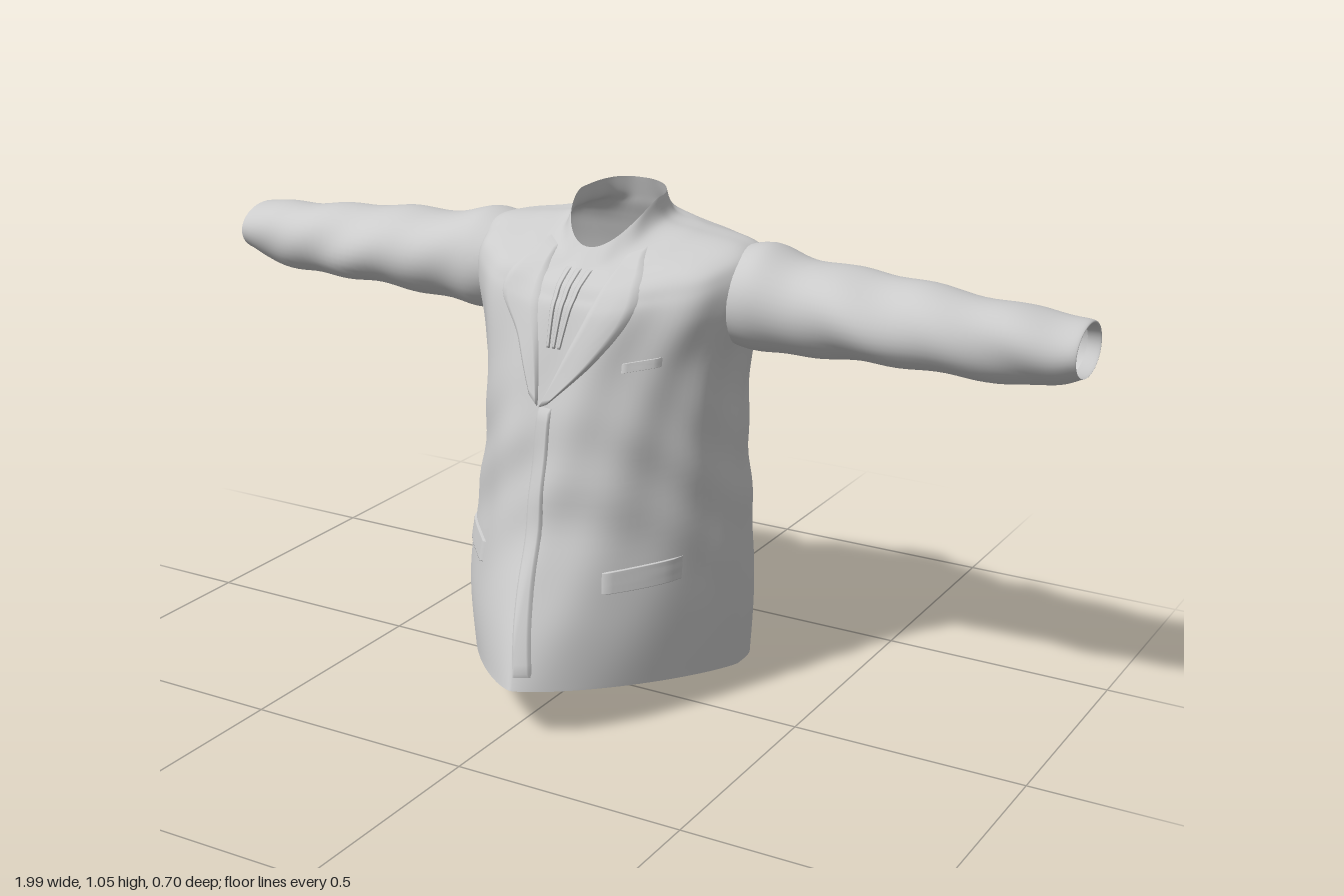
import * as THREE from 'three';

const cloth = new THREE.MeshStandardMaterial({ color: 0xcccccc, side: THREE.DoubleSide });

// Catmull-Rom sample of rows of numbers, t in 0..1
function sample(rows, t) {
  const f = t * (rows.length - 1), i = Math.min(Math.floor(f), rows.length - 2), w = f - i;
  const at = (k) => rows[Math.max(0, Math.min(rows.length - 1, k))];
  return rows[0].map((_, c) => {
    const a = at(i - 1)[c], b = at(i)[c], d = at(i + 1)[c], e = at(i + 2)[c];
    return b + 0.5 * w * (d - a + w * (2 * a - 5 * b + 4 * d - e + w * (3 * (b - d) + e - a)));
  });
}

// Smooth grid surface; wrap joins the last column to the first, skip leaves holes
function grid(name, fn, nu, nv, wrap, skip = () => false) {
  const pos = [], idx = [], cols = wrap ? nu : nu + 1, pts = [];
  for (let j = 0; j <= nv; j++) for (let i = 0; i < cols; i++) {
    const p = fn(i / nu, j / nv);
    pts.push(p);
    pos.push(...p);
  }
  for (let j = 0; j < nv; j++) for (let i = 0; i < nu; i++) {
    const a = j * cols + i, b = j * cols + (i + 1) % cols, c = a + cols, d = b + cols;
    if (skip(pts[a]) && skip(pts[d])) continue;
    idx.push(a, b, d, a, d, c);
  }
  const g = new THREE.BufferGeometry();
  g.setAttribute('position', new THREE.Float32BufferAttribute(pos, 3));
  g.setIndex(idx);
  g.computeVertexNormals();
  const m = new THREE.Mesh(g, cloth);
  m.name = name;
  return m;
}

const pow = (v, p) => Math.sign(v) * Math.abs(v) ** p;

// Body rings: xMin, xMax, zBack, zFront, yBack, ySide, yFront, front pointedness, front tip x
const bodyRings = [
  [-0.33, 0.30, -0.34, 0.35, 0.005, 0.05, 0.115, 1.5, 0.04],
  [-0.34, 0.305, -0.345, 0.305, 0.19, 0.2, 0.21, 1.4, 0.03],
  [-0.31, 0.295, -0.335, 0.21, 0.4, 0.4, 0.4, 1.2, 0.01],
  [-0.285, 0.278, -0.325, 0.165, 0.6, 0.6, 0.6, 1.05, 0],
  [-0.295, 0.285, -0.343, 0.125, 0.74, 0.74, 0.74, 1, 0],
  [-0.32, 0.32, -0.315, 0.09, 0.86, 0.86, 0.84, 0.95, 0],
  [-0.32, 0.32, -0.29, 0.07, 0.93, 0.935, 0.87, 0.95, 0],
  [-0.285, 0.285, -0.275, 0.055, 0.965, 0.97, 0.89, 0.95, 0],
  [-0.19, 0.18, -0.26, 0.035, 0.995, 0.985, 0.905, 0.95, 0],
  [-0.115, 0.105, -0.25, 0.015, 1.02, 1.0, 0.92, 1, 0],
  [-0.1, 0.085, -0.235, -0.02, 1.06, 1.045, 0.955, 1, 0],
];

function bodyPoint(u, v) {
  const [x0, x1, zb, zf, yb, ys, yf, pf, tip] = sample(bodyRings, v);
  const a = u * Math.PI * 2, c = Math.cos(a), s = -Math.sin(a), front = s > 0;
  const zc = THREE.MathUtils.lerp(-0.13, -0.15, v), p = front ? pf : 0.8;
  const k = Math.abs(s) ** 1.5;
  let x = (x0 + x1) / 2 + (x1 - x0) / 2 * pow(c, p) + (front ? tip * s * s : 0);
  let z = zc + (front ? zf - zc : zc - zb) * pow(s, p);
  const y = ys + ((front ? yf : yb) - ys) * k;
  // cloth folds: waist creases and loose vertical drape
  const mid = Math.sin(Math.PI * v);
  const fold = mid * (0.005 * Math.sin(38 * y + 5 * Math.sin(2 * a + 1)) * Math.exp(-(((y - 0.48) / 0.16) ** 2))
    + 0.004 * Math.sin(7 * a + 6 * y) + 0.003 * Math.sin(13 * a - 9 * y));
  x += c * fold;
  z += s * fold;
  return [x, y, z];
}

// Sleeve rings: x, yBottom, yTop, zBack, zFront
const sleeveRings = [
  [0.28, 0.76, 0.965, -0.285, -0.045],
  [0.335, 0.752, 0.972, -0.295, -0.04],
  [0.42, 0.758, 0.952, -0.285, -0.05],
  [0.55, 0.762, 0.943, -0.28, -0.05],
  [0.7, 0.766, 0.93, -0.282, -0.06],
  [0.85, 0.764, 0.918, -0.28, -0.085],
  [0.94, 0.768, 0.908, -0.275, -0.105],
  [0.99, 0.787, 0.902, -0.272, -0.115],
  [0.995, 0.79, 0.895, -0.268, -0.12],
  [0.97, 0.793, 0.892, -0.265, -0.123],
];

function sleeve(side) {
  return grid(side > 0 ? 'leftSleeve' : 'rightSleeve', (u, v) => {
    const [x, y0, y1, zb, zf] = sample(sleeveRings, v);
    const a = -side * u * Math.PI * 2, c = Math.cos(a), s = Math.sin(a);
    const r = 1 + Math.sin(Math.PI * v) * (0.035 * Math.sin(34 * x + 2.5 * s + side) + 0.03 * Math.sin(3 * a + 14 * x));
    return [side * x, (y0 + y1) / 2 + (y1 - y0) / 2 * s * r, (zb + zf) / 2 + (zf - zb) / 2 * c * r];
  }, 40, 70, true);
}

// Raised cloth panel laid on the body front between two edges given as [x, y] points
function panel(name, body, left, right, lift) {
  const ray = new THREE.Raycaster(), dir = new THREE.Vector3(0, 0, -1);
  const nu = 10, nv = 24;
  let last = 0;
  return grid(name, (u, v) => {
    const a = sample(left, v), b = sample(right, v);
    const x = a[0] + (b[0] - a[0]) * u, y = a[1] + (b[1] - a[1]) * u;
    ray.set(new THREE.Vector3(x, y, 1), dir);
    const hit = ray.intersectObject(body)[0];
    if (hit) last = hit.point.z;
    const rim = u === 0 || u === 1 || v === 0 || v === 1;
    return [x, y, last + (rim ? -0.003 : lift)];
  }, nu, nv, false);
}

export function createModel() {
  const jacket = new THREE.Group();
  jacket.name = 'jacket';

  // Body, left open at the hem, collar and armholes
  const armhole = ([x, y, z]) => Math.abs(x) > 0.24 && ((y - 0.862) / 0.085) ** 2 + ((z + 0.167) / 0.1) ** 2 < 1;
  const body = grid('body', bodyPoint, 112, 90, true, armhole);
  body.updateMatrixWorld();
  jacket.add(body, sleeve(1), sleeve(-1));

  // Lapels, narrowing down to the top button
  jacket.add(
    panel('leftLapel', body, [[-0.03, 0.65], [0.01, 0.75], [0.05, 0.85], [0.075, 0.95]],
      [[-0.01, 0.66], [0.09, 0.76], [0.15, 0.87], [0.11, 0.965]], 0.008),
    panel('rightLapel', body, [[-0.05, 0.67], [-0.11, 0.78], [-0.175, 0.87], [-0.12, 0.965]],
      [[-0.03, 0.65], [-0.045, 0.76], [-0.065, 0.85], [-0.085, 0.95]], 0.007),
  );

  // Overlapping front edge from top button to hem
  jacket.add(panel('frontPlacket', body, [[0.025, 0.135], [-0.015, 0.3], [-0.03, 0.48], [-0.03, 0.66]],
    [[0.06, 0.135], [0.025, 0.3], [0.01, 0.48], [0.005, 0.66]], 0.006));

  // Pocket flaps and breast welt
  jacket.add(
    panel('leftPocketFlap', body, [[0.14, 0.29], [0.135, 0.335]], [[0.25, 0.295], [0.25, 0.345]], 0.008),
    panel('rightPocketFlap', body, [[-0.27, 0.295], [-0.27, 0.34]], [[-0.16, 0.29], [-0.155, 0.335]], 0.008),
    panel('breastWelt', body, [[0.13, 0.735], [0.13, 0.755]], [[0.205, 0.75], [0.205, 0.77]], 0.005),
  );

  // Shirt front pleats in the neck opening
  for (let i = 0; i < 3; i++) {
    const x = -0.03 + i * 0.025;
    jacket.add(panel('shirtPleat', body, [[x * 0.5 - 0.012, 0.77], [x - 0.01, 0.92]], [[x * 0.5 - 0.006, 0.77], [x + 0.004, 0.92]], 0.005));
  }
  return jacket;
}
